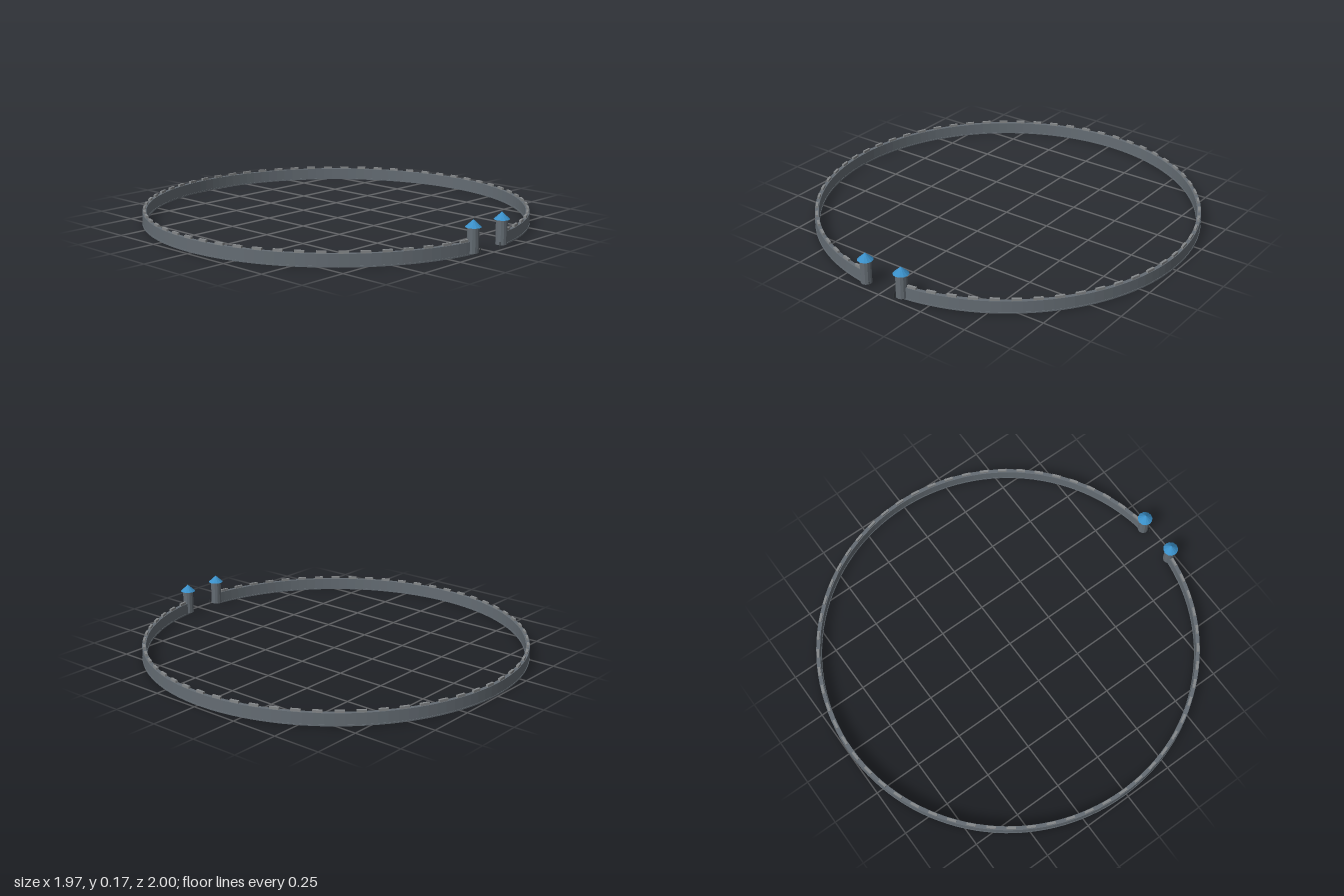
import * as THREE from 'three';

const RADIUS = 0.975, CENTRE_Z = -0.012, GATE = 0.111; // GATE: half angle of the opening

const paint = (color) => new THREE.MeshStandardMaterial({ color, flatShading: true });

export function createModel() {
  const model = new THREE.Group();
  const stone = paint(0x646c73), pale = paint(0x85888a), blue = paint(0x3a8fc8), dark = paint(0x33373a);

  const add = (parent, name, geometry, material, x = 0, y = 0, z = 0) => {
    const mesh = new THREE.Mesh(geometry, material);
    mesh.name = name;
    mesh.position.set(x, y, z);
    parent.add(mesh);
    return mesh;
  };

  // Ring with a closed rectangular section, open at the gate
  const ring = (inner, outer, bottom, top) => new THREE.LatheGeometry(
    [[inner, bottom], [outer, bottom], [outer, top], [inner, top], [inner, bottom]]
      .map(([r, y]) => new THREE.Vector2(r, y)),
    124, GATE, Math.PI * 2 - GATE * 2);
  add(model, 'wall', ring(RADIUS - 0.01, RADIUS + 0.01, 0.006, 0.066), stone, 0, 0, CENTRE_Z);
  add(model, 'wallFooting', ring(RADIUS - 0.012, RADIUS + 0.012, 0.004, 0.011), stone, 0, 0, CENTRE_Z);

  // Evenly spaced battlements along the wall
  const battlements = new THREE.Group();
  battlements.name = 'battlements';
  model.add(battlements);
  const merlon = new THREE.BoxGeometry(0.046, 0.014, 0.012);
  const count = 60, first = GATE + 0.055, span = Math.PI * 2 - first * 2;
  for (let i = 0; i < count; i++) {
    const a = first + span * i / (count - 1);
    const block = add(battlements, 'merlon', merlon, pale,
      RADIUS * Math.sin(a), 0.071, CENTRE_Z + RADIUS * Math.cos(a));
    block.rotation.y = a;
  }

  // Matching gate towers with conical roofs and slim gate posts
  for (const side of [1, -1]) {
    const tower = new THREE.Group();
    tower.name = side > 0 ? 'leftGateTower' : 'rightGateTower';
    tower.position.set(side * 0.108, 0, 0.96);
    model.add(tower);
    add(tower, 'towerBody', new THREE.CylinderGeometry(0.028, 0.028, 0.124, 12), stone, 0, 0.073, 0);
    add(tower, 'towerRoof', new THREE.ConeGeometry(0.039, 0.036, 12), blue, 0, 0.15, 0);
    add(tower, 'gatePost', new THREE.CylinderGeometry(0.002, 0.002, 0.03, 6), dark, side * -0.033, 0.015, 0.018);
  }
  return model;
}
